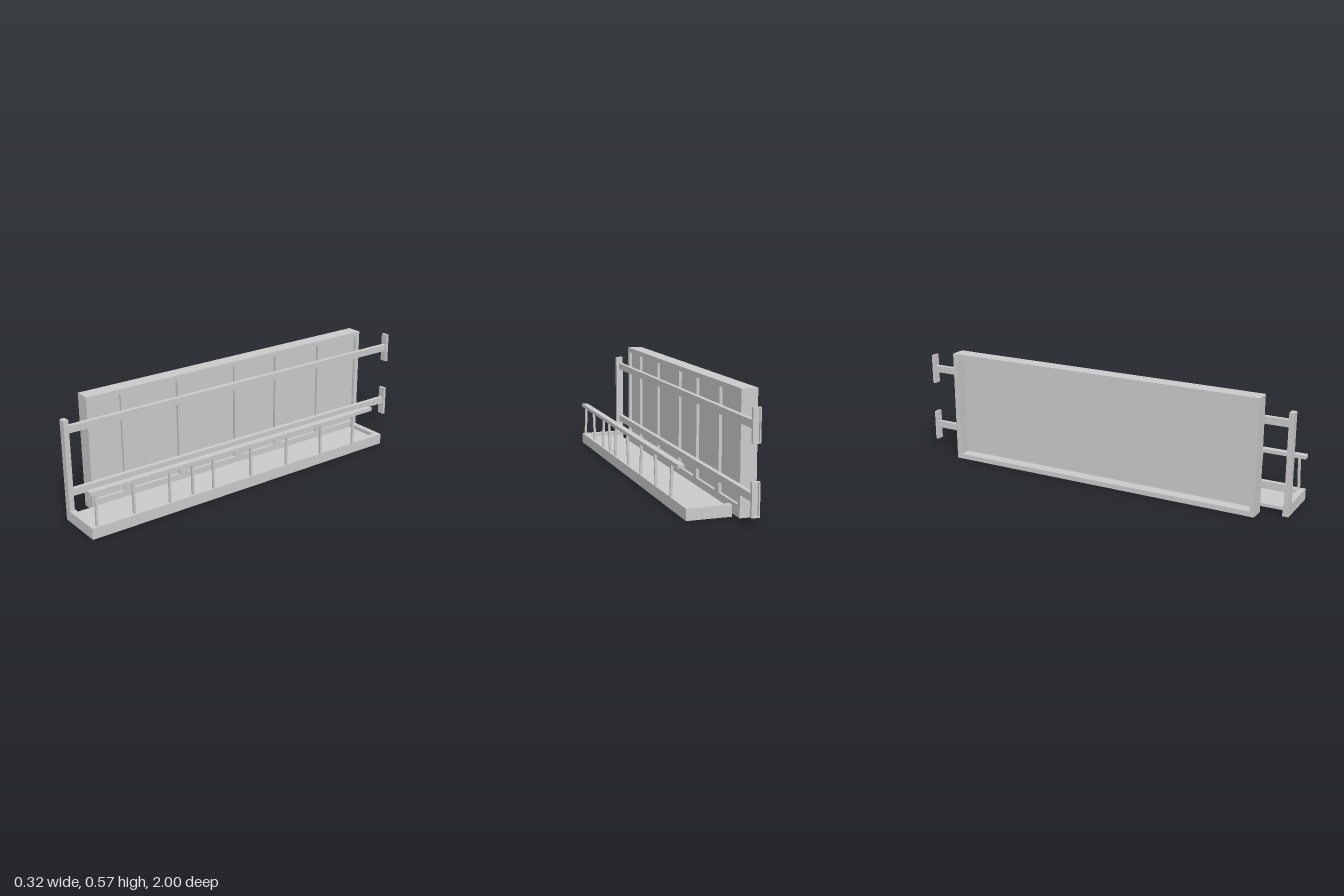
import * as THREE from 'three';

const material = new THREE.MeshStandardMaterial({ color: 0xcccccc, flatShading: true });

export function createModel() {
  const model = new THREE.Group();
  model.name = 'balcony';

  const add = (name, geometry, parent = model) => {
    const mesh = new THREE.Mesh(geometry, material);
    mesh.name = name;
    parent.add(mesh);
    return mesh;
  };
  const group = (name) => {
    const g = new THREE.Group();
    g.name = name;
    model.add(g);
    return g;
  };
  // Box given by its limits on each axis
  const span = (x0, x1, y0, y1, z0, z1) =>
    new THREE.BoxGeometry(x1 - x0, y1 - y0, z1 - z0)
      .translate((x0 + x1) / 2, (y0 + y1) / 2, (z0 + z1) / 2);
  // Closed outline from corner points
  const outline = (points, Type = THREE.Shape) =>
    new Type(points.map(([a, b]) => new THREE.Vector2(a, b)));
  const rect = (a0, a1, b0, b1, Type) =>
    outline([[a0, b0], [a1, b0], [a1, b1], [a0, b1]], Type);
  const extrude = (shape, depth) =>
    new THREE.ExtrudeGeometry(shape, { depth, bevelEnabled: false });
  // Upright slab in the z-y plane with rectangular openings
  const sideFrame = (outer, holes, x0, x1) => {
    const shape = rect(...outer);
    holes.forEach((h) => shape.holes.push(rect(...h, THREE.Path)));
    return extrude(shape, x1 - x0).rotateY(-Math.PI / 2).translate(x1, 0, 0);
  };
  // Level slab with corners in x, z
  const levelSlab = (points, y0, y1) =>
    extrude(outline(points.map(([x, z]) => [x, -z])), y1 - y0)
      .rotateX(-Math.PI / 2).translate(0, y0, 0);

  // Wall: hollow back, thin panel, openings between mullions in front
  const wall = group('wall');
  const wallOuter = [-0.805, 0.862, 0, 0.57];
  const openings = [[0.685, 0.84], [0.375, 0.635], [0.035, 0.325],
    [-0.225, -0.015], [-0.51, -0.265], [-0.78, -0.555]];
  add('wallSurround', sideFrame(wallOuter, [[-0.78, 0.84, 0.025, 0.545]], -0.163, -0.104), wall);
  add('wallPanel', span(-0.104, -0.1, 0, 0.57, -0.805, 0.862), wall);
  add('wallMullions', sideFrame(wallOuter,
    openings.map(([a, b]) => [a, b, 0.055, 0.545]), -0.1, -0.085), wall);

  // Floor tray: slightly tapered, rims on three sides
  const tray = group('tray');
  add('trayFloor', levelSlab([[-0.063, 0.97], [0.13, 0.97], [0.122, -0.74], [-0.063, -0.74]], 0.02, 0.035), tray);
  add('trayOuterRim', levelSlab([[0.13, 0.97], [0.16, 0.97], [0.15, -0.74], [0.122, -0.74]], 0, 0.055), tray);
  add('trayFrontRim', span(-0.085, 0.16, 0, 0.055, 0.97, 1), tray);
  add('trayBackRim', span(-0.063, 0.15, 0, 0.055, -0.77, -0.74), tray);

  // Corner post and the two long wall rails with recessed end plates
  add('cornerPost', span(-0.085, -0.048, 0.055, 0.5, 0.975, 1));
  for (const [name, y0, y1, p0, p1] of [
    ['lower', 0.12, 0.155, 0.055, 0.21],
    ['upper', 0.43, 0.465, 0.37, 0.522],
  ]) {
    add(name + 'Rail', span(-0.085, -0.062, y0, y1, -0.987, 0.975));
    const plate = group(name + 'EndPlate');
    add('plateFace', span(-0.093, -0.055, p0, p1, -0.989, -0.985), plate);
    const rim = rect(-0.093, -0.055, p0, p1);
    rim.holes.push(rect(-0.087, -0.061, p0 + 0.006, p1 - 0.006, THREE.Path));
    add('plateRim', extrude(rim, 0.011).translate(0, 0, -1), plate);
  }

  // Railing: handrail on slightly leaning balusters
  const railing = group('railing');
  add('handrail', span(0.127, 0.16, 0.213, 0.231, -0.685, 1), railing);
  [0.967, 0.775, 0.58, 0.453, 0.333, 0.11, -0.115, -0.34, -0.565].forEach((z, i) => {
    const post = new THREE.BoxGeometry(0.012, 0.16, 0.011);
    const lean = i % 2 ? 0.025 : -0.025;
    post.applyMatrix4(new THREE.Matrix4().makeShear(0, 0, lean, lean, 0, 0));
    add('baluster', post.translate(0.145, 0.134, z), railing);
  });

  return model;
}
